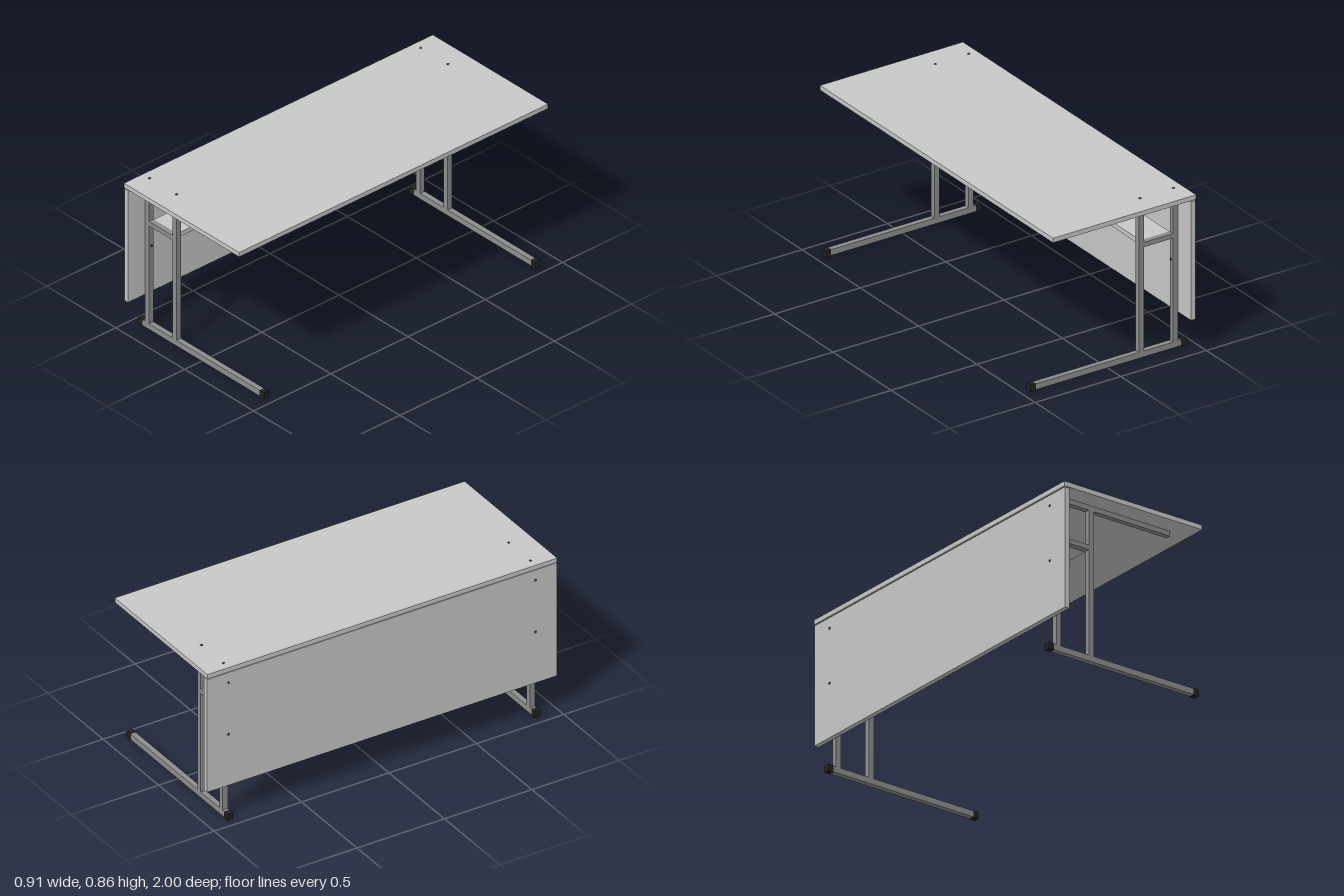
import * as THREE from 'three';

const mat = (name, color) => {
  const m = new THREE.MeshStandardMaterial({ color });
  m.name = name;
  return m;
};

export function createModel() {
  const board = mat('light grey board', 0xc8c8c8);
  const steel = mat('grey steel', 0x8e8e8e);
  const rubber = mat('black plastic', 0x222222);
  const bolt = mat('dark bolt', 0x505050);

  const desk = new THREE.Group();
  desk.name = 'desk';

  // Box given by its limits on each axis
  const box = (parent, name, material, [x0, x1], [y0, y1], [z0, z1]) => {
    const mesh = new THREE.Mesh(new THREE.BoxGeometry(x1 - x0, y1 - y0, z1 - z0), material);
    mesh.position.set((x0 + x1) / 2, (y0 + y1) / 2, (z0 + z1) / 2);
    mesh.name = name;
    parent.add(mesh);
  };

  // Short cylinder along y, or along x when sideways
  const stud = (parent, name, r, length, x, y, sideways) => {
    const mesh = new THREE.Mesh(new THREE.CylinderGeometry(r, r, length, 16), bolt);
    mesh.position.set(x, y, 0);
    if (sideways) mesh.rotation.z = Math.PI / 2;
    mesh.name = name;
    parent.add(mesh);
  };

  // Boards
  box(desk, 'tabletop', board, [-0.44, 0.395], [0.832, 0.857], [-1, 1]);
  box(desk, 'modestyPanel', board, [-0.437, -0.411], [0.187, 0.827], [-1, 1]);
  box(desk, 'shelf', board, [-0.38, -0.21], [0.593, 0.618], [-0.863, 0.863]);

  // Tube frames, one at each end
  for (const side of [1, -1]) {
    const frame = new THREE.Group();
    frame.name = side > 0 ? 'leftFrame' : 'rightFrame';
    frame.position.z = side * 0.878;
    const z = [-0.0145, 0.0145];
    box(frame, 'foot', steel, [-0.426, 0.426], [0.003, 0.035], z);
    box(frame, 'backUpright', steel, [-0.408, -0.38], [0.035, 0.807], z);
    box(frame, 'frontUpright', steel, [-0.21, -0.18], [0.035, 0.807], z);
    box(frame, 'topRail', steel, [-0.408, 0.283], [0.806, 0.832], z);
    box(frame, 'shelfRail', steel, [-0.38, -0.21], [0.595, 0.621], z);

    // End caps on the foot
    for (const s of [1, -1]) {
      const x = s > 0 ? [0.424, 0.455] : [-0.455, -0.424];
      box(frame, 'footCap', rubber, x, [0, 0.037], [-0.016, 0.016]);
    }

    // Bolts through the tabletop
    for (const x of [-0.391, -0.195]) stud(frame, 'topBolt', 0.007, 0.006, x, 0.857, false);

    // Bolts through the panel, with nuts inside
    for (const y of [0.77, 0.477]) {
      stud(frame, 'panelBoltHead', 0.007, 0.006, -0.4375, y, true);
      stud(frame, 'panelBoltShaft', 0.003, 0.06, -0.402, y, true);
      stud(frame, 'panelNut', 0.006, 0.006, -0.376, y, true);
    }
    desk.add(frame);
  }
  return desk;
}
